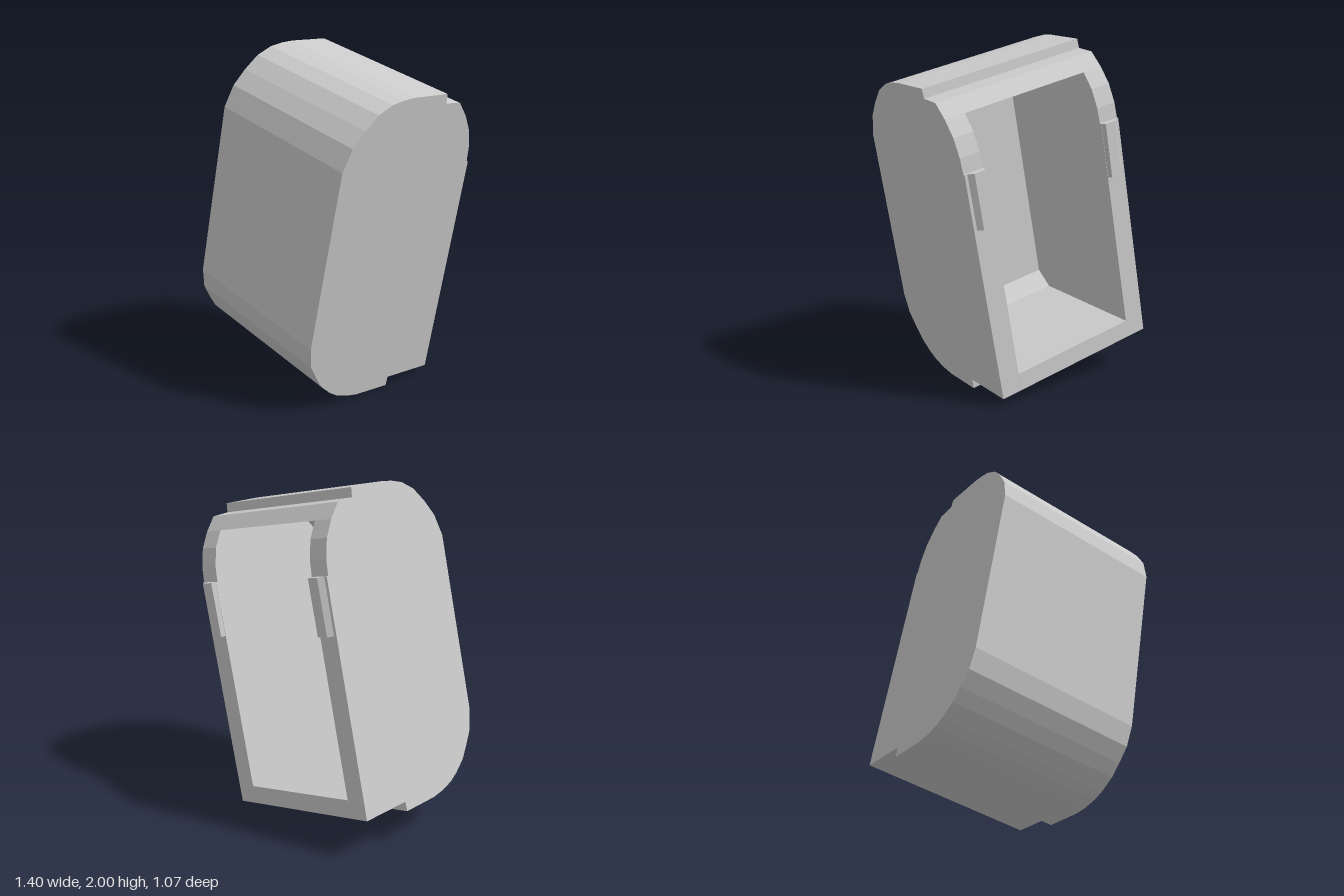
import * as THREE from 'three';

const material = new THREE.MeshStandardMaterial({ color: 0xcccccc, flatShading: true });
const HALF = 0.525;   // half of the total width
const INNER = 0.4;    // half of the cavity width

function extrude(points, depth) {
  const shape = new THREE.Shape(points.map(([x, y]) => new THREE.Vector2(x, y)));
  return new THREE.ExtrudeGeometry(shape, { depth, bevelEnabled: false });
}

// Side profile as [depth, height], swept along the width from one x to another
function sweep(name, points, x0, x1) {
  const geometry = extrude(points, x1 - x0);
  geometry.rotateY(-Math.PI / 2).translate(x1, 0, 0);
  const mesh = new THREE.Mesh(geometry, material);
  mesh.name = name;
  return mesh;
}

export function createModel() {
  const model = new THREE.Group();
  model.name = 'openHousing';
  const body = new THREE.Group();
  body.name = 'tiltedBody';
  model.add(body);

  // Outer outline from the top lip, over the front, to the back of the base
  const outer = [
    [-0.374, 0.776], [-0.306, 0.856], [-0.196, 0.863], [-0.19, 0.917],
    [0.05, 0.915], [0.13, 0.907], [0.21, 0.888], [0.298, 0.84], [0.375, 0.76],
    [0.442, 0.67], [0.487, 0.543], [0.5, -0.5], [0.474, -0.62], [0.42, -0.705],
    [0.37, -0.775], [0.296, -0.835], [0.235, -0.87], [0.154, -0.895],
    [0.074, -0.908], [-0.161, -0.911], [-0.164, -0.854], [-0.48, -0.856],
  ];

  // Cavity floor, chamfered front wall and ceiling
  const cavity = [[-0.48, -0.75], [0.28, -0.75], [0.37, -0.66], [0.37, 0.66], [0.28, 0.776]];

  // Back edge of the end walls, curving in towards the top
  const backEdge = [[-0.475, 0.49], [-0.464, 0.49], [-0.457, 0.58], [-0.428, 0.685]];

  body.add(sweep('wrapShell', [...outer, ...cavity], -INNER, INNER));
  body.add(sweep('leftEndWall', [...outer, ...backEdge], INNER, HALF));
  body.add(sweep('rightEndWall', [...outer, ...backEdge], -HALF, -INNER));

  // Small bevelled tabs on the rear rims
  for (const side of [1, -1]) {
    const outline = [[0.4, -0.47], [0.41, -0.503], [0.48, -0.503], [0.512, -0.47]];
    const geometry = extrude(outline.map(([x, z]) => [side * x, z]), 0.32);
    geometry.rotateX(Math.PI / 2).translate(0, 0.49, 0);
    const tab = new THREE.Mesh(geometry, material);
    tab.name = side > 0 ? 'leftRimTab' : 'rightRimTab';
    body.add(tab);
  }

  // Lean the body sideways with a slight turn
  const u = new THREE.Vector3(1.03, -0.21, -0.034).normalize();
  const w = u.clone().cross(new THREE.Vector3(0.2, 0.978, -0.037)).normalize();
  const v = w.clone().cross(u);
  body.setRotationFromMatrix(new THREE.Matrix4().makeBasis(u, v, w));
  body.position.set(0, 1, 0);
  return model;
}
